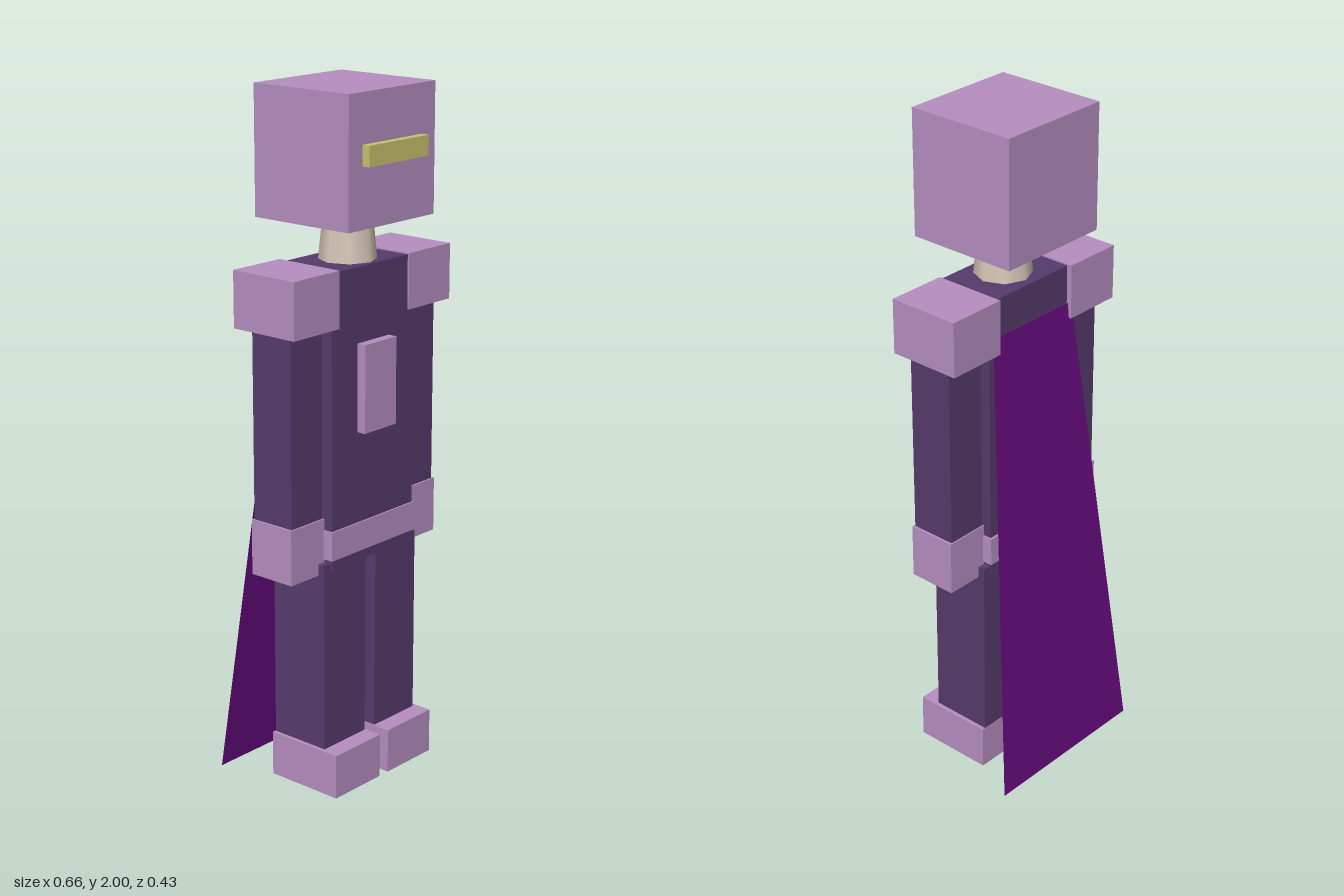
import * as THREE from 'three';

export function createModel() {
  const model = new THREE.Group();
  model.name = 'armouredFigure';

  const material = (name, color) => {
    const m = new THREE.MeshStandardMaterial({ color });
    m.name = name;
    return m;
  };
  const lilac = material('lilac armour', 0xb78fc2);
  const violet = material('dark violet cloth', 0x573b6d);
  const purple = material('purple cape', 0x660a7e);
  purple.side = THREE.DoubleSide;
  const gold = material('gold visor', 0xcac46e);
  const skin = material('skin', 0xd6c8b8);

  const add = (name, geometry, mat) => {
    const mesh = new THREE.Mesh(geometry, mat);
    mesh.name = name;
    model.add(mesh);
    return mesh;
  };
  // Box given by its limits on each axis
  const box = (name, mat, [x0, x1], [y0, y1], [z0, z1]) => {
    const mesh = add(name, new THREE.BoxGeometry(x1 - x0, y1 - y0, z1 - z0), mat);
    mesh.position.set((x0 + x1) / 2, (y0 + y1) / 2, (z0 + z1) / 2);
  };
  // The same box on both sides of the body
  const pair = (name, mat, [x0, x1], y, z) => {
    box('left' + name, mat, [x0, x1], y, z);
    box('right' + name, mat, [-x1, -x0], y, z);
  };

  // Head and neck
  box('head', lilac, [-0.178, 0.178], [1.635, 2], [-0.147, 0.191]);
  box('visor', gold, [-0.123, 0.123], [1.805, 1.862], [0.18, 0.215]);
  const neck = add('neck', new THREE.CylinderGeometry(0.068, 0.084, 0.16, 8), skin);
  neck.position.set(0, 1.575, 0.033);

  // Trunk
  box('torso', violet, [-0.173, 0.173], [0.67, 1.517], [-0.072, 0.127]);
  box('chestPlate', lilac, [-0.066, 0.066], [1.05, 1.303], [0.12, 0.155]);
  box('belt', lilac, [-0.178, 0.178], [0.7, 0.785], [-0.079, 0.132]);

  // Arms and legs
  pair('Shoulder', lilac, [0.146, 0.328], [1.36, 1.521], [-0.088, 0.132]);
  pair('Arm', violet, [0.178, 0.303], [0.75, 1.45], [-0.044, 0.095]);
  pair('Hand', lilac, [0.174, 0.31], [0.657, 0.818], [-0.048, 0.1]);
  pair('Leg', violet, [0.022, 0.198], [0.01, 0.69], [-0.069, 0.12]);
  pair('Foot', lilac, [0.018, 0.21], [0, 0.132], [-0.07, 0.175]);

  // Cape: one flat sheet, widening and leaning back towards the hem
  const cape = new THREE.PlaneGeometry(2, 1);
  const p = cape.attributes.position;
  for (let i = 0; i < p.count; i++) {
    const top = p.getY(i) > 0;
    p.setXYZ(i, -p.getX(i) * (top ? 0.161 : 0.276), top ? 1.405 : 0.003, top ? -0.076 : -0.215);
  }
  cape.computeVertexNormals();
  add('cape', cape, purple);

  return model;
}
